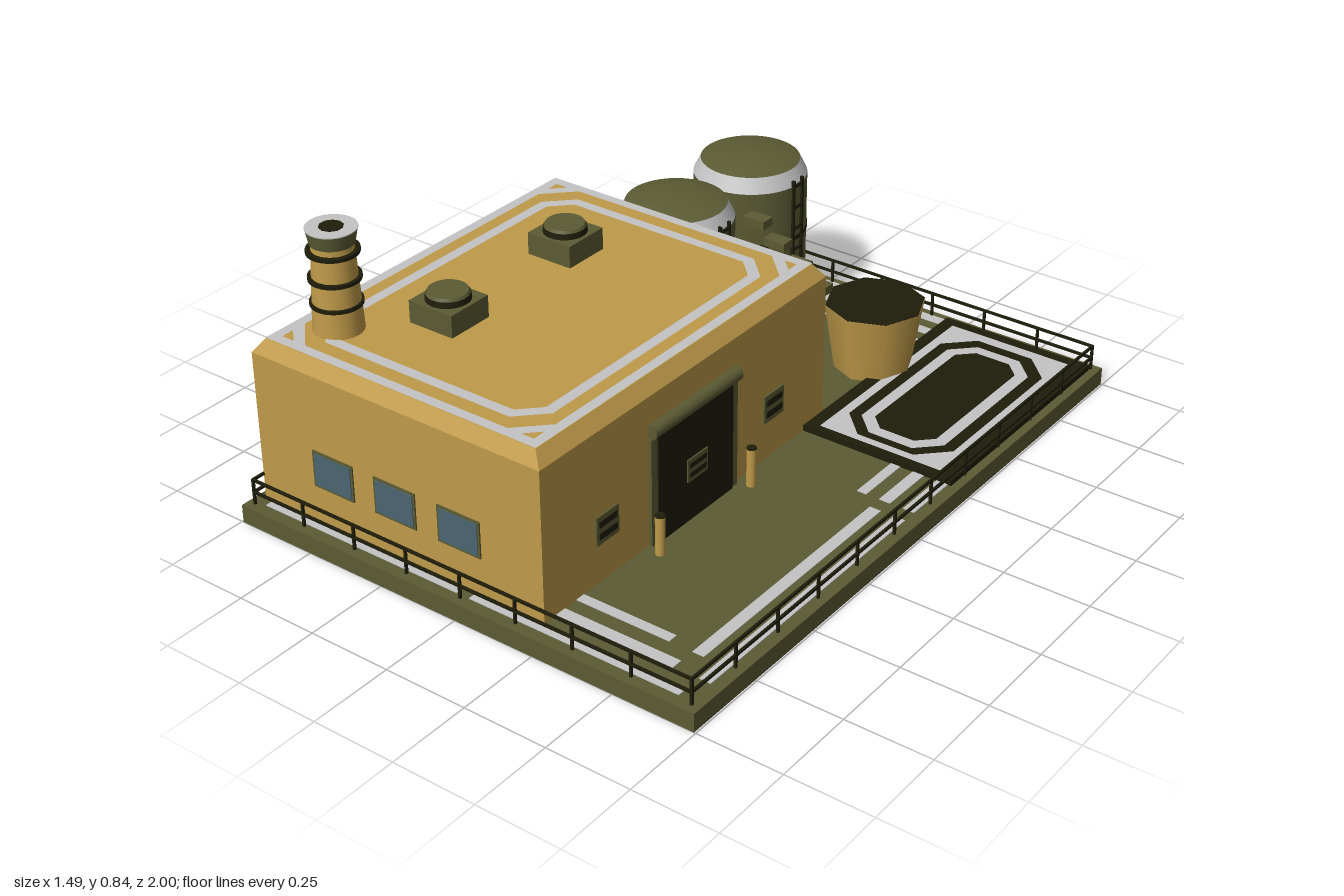
import * as THREE from 'three';

const mat = (name, color) => Object.assign(new THREE.MeshStandardMaterial({ color }), { name });

export function createModel() {
  const root = new THREE.Group();
  root.name = 'factory';
  const green = mat('olive green', 0x5b5b34);
  green.side = THREE.DoubleSide;
  const tan = mat('ochre', 0xbf9a49);
  const dark = mat('dark olive', 0x1e1d0b);
  const white = mat('pale grey', 0xc4c4c4);
  const blue = mat('window blue', 0x4b6672);

  const add = (name, geo, m, x = 0, y = 0, z = 0) => {
    const mesh = new THREE.Mesh(geo, m);
    mesh.name = name;
    mesh.position.set(x, y, z);
    root.add(mesh);
    return mesh;
  };
  // box given by its minimum and maximum on each axis
  const box = (name, m, x0, x1, y0, y1, z0, z1) =>
    add(name, new THREE.BoxGeometry(x1 - x0, y1 - y0, z1 - z0), m, (x0 + x1) / 2, (y0 + y1) / 2, (z0 + z1) / 2);
  const cyl = (name, m, rTop, rBottom, y0, y1, x, z, n = 32) =>
    add(name, new THREE.CylinderGeometry(rTop, rBottom, y1 - y0, n), m, x, (y0 + y1) / 2, z);

  // rectangle with cut corners, optionally hollow with border width w
  const octPoints = (hx, hz, c) => [[hx - c, hz], [-hx + c, hz], [-hx, hz - c], [-hx, -hz + c],
    [-hx + c, -hz], [hx - c, -hz], [hx, -hz + c], [hx, hz - c]].map(([x, y]) => new THREE.Vector2(x, y));
  const plate = (name, m, x, y, z, hx, hz, c, w = 0) => {
    const shape = new THREE.Shape(octPoints(hx, hz, c));
    if (w) shape.holes.push(new THREE.Path(octPoints(hx - w, hz - w, Math.max(c - 0.586 * w, 0))));
    return add(name, new THREE.ShapeGeometry(shape).rotateX(-Math.PI / 2), m, x, y, z);
  };

  // ground slab: a shallow tray, hollow and open underneath
  const G = 0.055;
  const slab = box('groundSlab', green, -0.745, 0.745, 0, G - 0.001, -1, 1).geometry;
  slab.setIndex([...slab.index.array].filter((_, i) => i < 18 || i >= 24));
  slab.clearGroups();

  // painted ground stripes: x0, x1, z0, z1
  const stripes = [
    [-0.715, -0.68, -0.895, -0.29], [-0.64, -0.605, -0.82, -0.29], [-0.565, -0.53, -0.75, -0.29],
    [0.675, 0.71, -0.195, -0.025], [0.6, 0.635, -0.195, -0.025], [0.53, 0.56, -0.195, -0.025],
    [0.675, 0.71, 0.02, 0.885], [0.6, 0.635, 0.02, 0.81],
    [-0.69, -0.02, 0.935, 0.965], [0.02, 0.675, 0.935, 0.965],
    [0.24, 0.6, 0.855, 0.89], [0.24, 0.53, 0.78, 0.81],
  ];
  [[-0.975, -0.68], [-0.9, -0.605], [-0.825, -0.53]].forEach(([z, x]) =>
    stripes.push([x, -0.02, z, z + 0.035], [0.02, 0.24, z, z + 0.035]));
  stripes.forEach(([x0, x1, z0, z1]) => box('groundStripe', white, x0, x1, G, G + 0.002, z0, z1));

  // perimeter railing
  const RX = 0.72, RZ = 0.975, t = 0.0035;
  for (const s of [-1, 1]) {
    for (const y of [0.092, 0.13]) {
      box('railLong', dark, s * RX - t, s * RX + t, y - t, y + t, -RZ, RZ);
      box('railShort', dark, -RX, RX, y - t, y + t, s * RZ - t, s * RZ + t);
    }
    for (let i = 0; i <= 11; i++) {
      const z = -RZ + (i * 2 * RZ) / 11;
      box('railPost', dark, s * RX - t, s * RX + t, G, 0.133, z - t, z + t);
    }
    for (let i = 1; i < 8; i++) {
      const x = -RX + (i * 2 * RX) / 8;
      box('railPost', dark, x - t, x + t, G, 0.133, s * RZ - t, s * RZ + t);
    }
  }

  // main hall with a sloped roof edge
  const BX = -0.24, BZ = 0.3225, top = 0.54;
  box('hallWalls', tan, -0.72, 0.24, G, 0.5, -0.29, 0.935);
  const crown = new THREE.BoxGeometry(0.96, 0.04, 1.225);
  const p = crown.attributes.position;
  for (let i = 0; i < p.count; i++) {
    if (p.getY(i) > 0) p.setXYZ(i, p.getX(i) * 0.45 / 0.48, p.getY(i), p.getZ(i) * 0.5875 / 0.6125);
  }
  crown.computeVertexNormals();
  add('roofEdge', crown, tan, BX, 0.52, BZ);
  plate('roofBorder', white, BX, top + 0.002, BZ, 0.45, 0.5875, 0, 0.03);
  plate('roofCorners', white, BX, top + 0.002, BZ, 0.45, 0.5875, 0.1, 0.03);
  plate('roofStripe', white, BX, top + 0.002, BZ, 0.382, 0.515, 0.075, 0.032);

  // windows on the front and back
  for (const x of [-0.455, -0.242, -0.028]) {
    for (const [z, s] of [[0.935, 1], [-0.29, -1]]) {
      box('windowFrame', green, x - 0.07, x + 0.07, 0.168, 0.277, z - 0.004, z + 0.004);
      box('windowGlass', blue, x - 0.063, x + 0.063, 0.175, 0.27, z + s * 0.002 - 0.004, z + s * 0.002 + 0.004);
    }
  }

  // louvred vents with two dark slots
  const vent = (x, y, z, hy, hz) => {
    box('ventPlate', green, x - 0.006, x + 0.006, y - hy, y + hy, z - hz, z + hz);
    for (const d of [-0.42, 0.42]) {
      const c = y + d * hy;
      box('ventSlot', dark, x - 0.008, x + 0.008, c - 0.22 * hy, c + 0.22 * hy, z - 0.8 * hz, z + 0.8 * hz);
    }
  };
  for (const z of [0.685, -0.042]) for (const x of [0.24, -0.72]) vent(x, 0.215, z, 0.042, 0.045);

  // loading door with roller housing and bollards
  box('doorFrame', green, 0.235, 0.25, G, 0.4, 0.135, 0.51);
  box('doorPanel', dark, 0.24, 0.254, G, 0.38, 0.16, 0.485);
  vent(0.252, 0.212, 0.322, 0.034, 0.044);
  add('doorRoller', new THREE.CylinderGeometry(0.021, 0.021, 0.375, 20).rotateX(Math.PI / 2), green, 0.246, 0.398, 0.322);
  for (const z of [0.118, 0.522]) {
    cyl('bollard', tan, 0.014, 0.014, G, 0.17, 0.285, z, 16);
    cyl('bollardCap', dark, 0.014, 0.014, 0.17, 0.174, 0.285, z, 16);
  }

  // roof ventilators
  for (const z of [0.075, 0.555]) {
    box('ventilatorBase', green, -0.448, -0.302, top, 0.605, z - 0.072, z + 0.072);
    cyl('ventilatorCap', dark, 0.06, 0.062, 0.605, 0.622, -0.375, z);
    cyl('ventilatorLid', green, 0.055, 0.059, 0.622, 0.63, -0.375, z);
  }

  // chimney
  const CX = -0.577, CZ = 0.757;
  cyl('chimneyShaft', tan, 0.056, 0.069, top, 0.79, CX, CZ);
  cyl('chimneyCollar', green, 0.068, 0.06, 0.79, 0.831, CX, CZ);
  cyl('chimneyRim', white, 0.069, 0.069, 0.831, 0.834, CX, CZ);
  cyl('chimneyMouth', dark, 0.033, 0.033, 0.832, 0.836, CX, CZ, 10);
  for (const y of [0.62, 0.692, 0.768]) cyl('chimneyBand', dark, 0.071, 0.071, y - 0.005, y + 0.005, CX, CZ);

  // storage tanks with ladders
  for (const z of [-0.803, -0.43]) {
    const x = -0.375, r = 0.172;
    cyl('tankBody', green, r, r, G, 0.45, x, z, 40);
    cyl('tankShoulder', white, 0.15, r, 0.45, 0.495, x, z, 40);
    const dome = [[0.15, 0], [0.12, 0.009], [0.07, 0.018], [0, 0.022]].map(([a, b]) => new THREE.Vector2(a, b));
    add('tankDome', new THREE.LatheGeometry(dome, 40), green, x, 0.495, z);
    cyl('tankBand', dark, r + 0.003, r + 0.003, 0.27, 0.282, x, z, 40);
    const lx = x + r + 0.001;
    for (const s of [-1, 1]) {
      box('ladderRail', dark, lx - 0.005, lx + 0.005, G, 0.47, z + s * 0.022 - 0.004, z + s * 0.022 + 0.004);
    }
    for (let y = 0.1; y < 0.47; y += 0.07) {
      box('ladderRung', dark, lx - 0.004, lx + 0.004, y - 0.004, y + 0.004, z - 0.022, z + 0.022);
    }
  }

  // steps beside the tanks and a link to the hall
  for (let i = 0; i < 5; i++) {
    const x = -0.255 + i * 0.073, y = 0.4 - i * 0.05;
    box('step', green, x, x + 0.073, y - 0.013, y + 0.013, -0.643, -0.598);
  }
  box('linkWalkway', dark, -0.197, -0.152, 0.268, 0.286, -0.59, -0.29);

  // marked yard pad
  const PX = 0.48, PY = 0.072;
  box('yardPad', dark, 0.24, 0.72, G, PY, -0.965, -0.195);
  plate('padBorder', white, PX, PY + 0.001, -0.575, 0.2, 0.355, 0);
  plate('padDarkRing', dark, PX, PY + 0.003, -0.567, 0.17, 0.325, 0.08);
  plate('padStripe', white, PX, PY + 0.004, -0.562, 0.135, 0.295, 0.065);
  plate('padCentre', dark, PX, PY + 0.005, -0.562, 0.1, 0.26, 0.045);

  // flared eight-sided vat
  cyl('vat', tan, 0.147, 0.115, 0.06, 0.265, 0.198, -0.618, 8);
  cyl('vatContents', dark, 0.146, 0.146, 0.263, 0.267, 0.198, -0.618, 8);

  return root;
}
